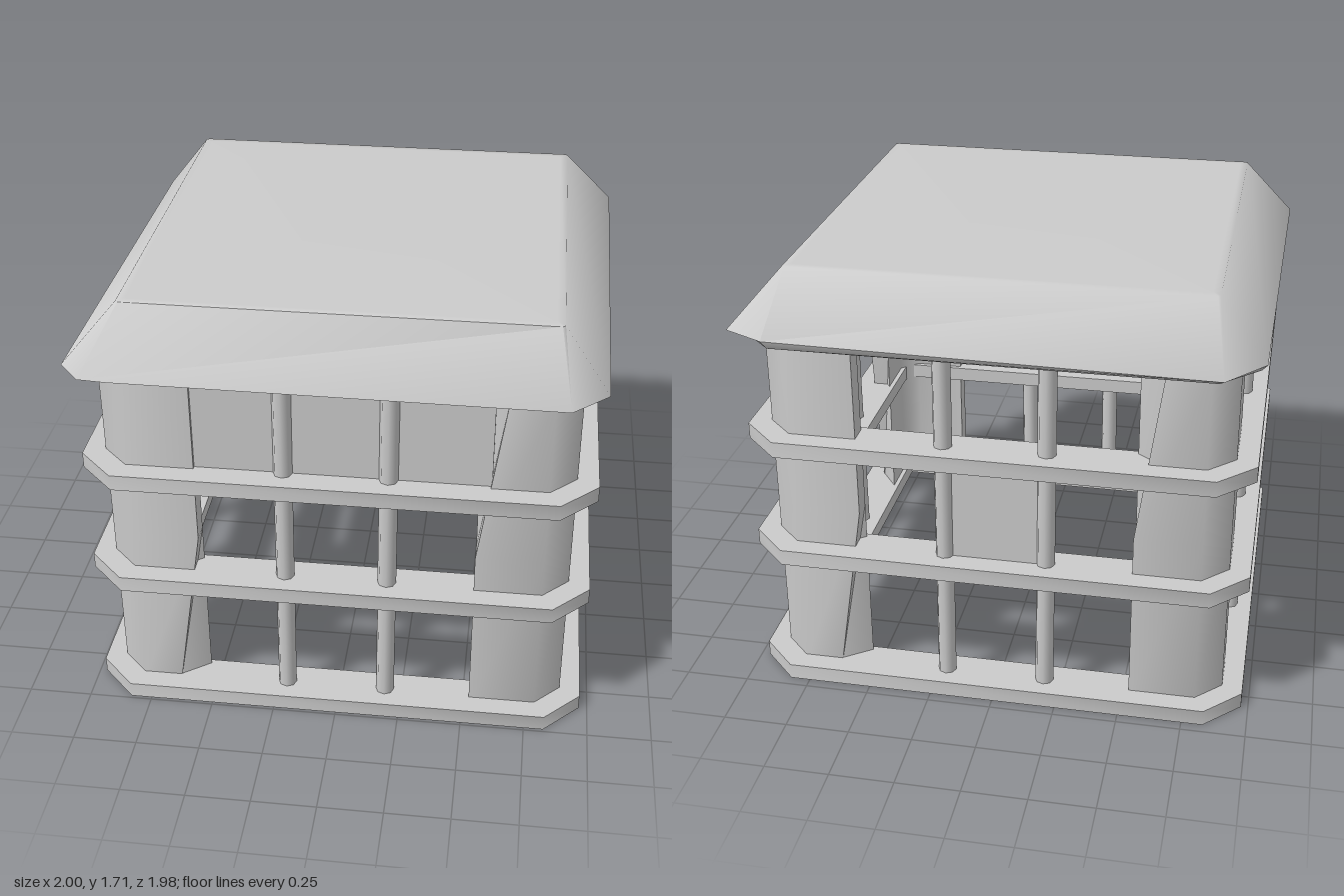
import * as THREE from 'three';
import { toCreasedNormals } from 'three/addons/utils/BufferGeometryUtils.js';

const material = new THREE.MeshStandardMaterial({ color: 0xcccccc, side: THREE.DoubleSide });

function add(parent, name, geometry) {
  const mesh = new THREE.Mesh(geometry, material);
  mesh.name = name;
  parent.add(mesh);
  return mesh;
}

// Rectangle with cut corners, as [x, z] points running front right, back right, back left, front left
function cutRect(x0, x1, z0, z1, c) {
  return [
    [x1 - c, z1], [x1, z1 - c], [x1, z0 + c], [x1 - c, z0],
    [x0 + c, z0], [x0, z0 + c], [x0, z1 - c], [x0 + c, z1],
  ];
}

// Skin a stack of cross-sections, bottom to top, with optional flat ends
function loft(sections, crease, capped) {
  const n = sections[0].points.length;
  const loops = sections.map(({ y, points }) => points.map(([x, z, dy = 0]) => [x, y + dy, z]));
  const pos = [];
  const tri = (...corners) => corners.forEach((p) => pos.push(...p));
  const middle = (loop) => [0, 1, 2].map((k) => loop.reduce((s, p) => s + p[k], 0) / n);
  const bottom = loops[0], top = loops[loops.length - 1];
  const low = middle(bottom), high = middle(top);
  for (let i = 0; i < n; i++) {
    const j = (i + 1) % n;
    for (let k = 0; k < loops.length - 1; k++) {
      const a = loops[k], b = loops[k + 1];
      tri(a[i], a[j], b[j]);
      tri(a[i], b[j], b[i]);
    }
    if (capped) {
      tri(high, top[i], top[j]);
      tri(low, bottom[j], bottom[i]);
    }
  }
  const g = new THREE.BufferGeometry();
  g.setAttribute('position', new THREE.Float32BufferAttribute(pos, 3));
  return toCreasedNormals(g, crease);
}

// Flat square hoop with cut outer corners and a square opening
function ringGeometry() {
  const outer = cutRect(-0.97, 0.97, -0.973, 0.973, 0.14);
  const shape = new THREE.Shape(outer.map(([x, z]) => new THREE.Vector2(x, z)));
  const h = 0.79;
  shape.holes.push(new THREE.Path([[-h, -h], [-h, h], [h, h], [h, -h]].map((p) => new THREE.Vector2(...p))));
  const g = new THREE.ExtrudeGeometry(shape, { depth: 0.063, bevelEnabled: false });
  return toCreasedNormals(g.rotateX(-Math.PI / 2), 0.9);
}

// Angle-shaped post section; the two cuts slant the ends of its front and side wings
function postSection(frontCut, sideCut) {
  return [
    [-0.53 - frontCut, 0.89], [-0.53, 0.81], [-0.74, 0.81], [-0.81, 0.74],
    [-0.81, 0.53], [-0.89, 0.53 + sideCut], [-0.89, 0.79], [-0.79, 0.89],
  ];
}

export function createModel() {
  const model = new THREE.Group();
  model.name = 'pavilion';
  const frame = new THREE.Group();
  frame.name = 'frame';
  frame.position.set(-0.003, 0, 0.015);
  model.add(frame);

  // Three hoops around the frame
  const ring = ringGeometry();
  [['baseRing', 0], ['middleRing', 0.538], ['upperRing', 1.01]].forEach(([name, y]) => {
    add(frame, name, ring).position.y = y;
  });

  // Corner posts with wings cut at opposite ends; their open ends sit inside base and roof
  const post = loft([
    { y: 0.03, points: postSection(0.11, 0) },
    { y: 0.75, points: postSection(0, 0) },
    { y: 1.46, points: postSection(0, 0.1) },
  ], 0.9, false);
  // Slim bars, two per side, leaning slightly
  const bar = new THREE.CylinderGeometry(0.036, 0.036, 1.43, 8);
  for (let side = 0; side < 4; side++) {
    const wall = new THREE.Group();
    wall.name = 'wall';
    wall.rotation.y = side * Math.PI / 2;
    add(wall, 'cornerPost', post);
    for (const x of [-0.197, 0.197]) {
      const b = add(wall, 'bar', bar);
      b.position.set(x, 0.74, 0.877);
      b.rotation.z = -0.007;
    }
    frame.add(wall);
  }

  // Wall panels: a wide one high on the front, a narrow one between the back bars
  add(frame, 'frontPanel', new THREE.BoxGeometry(1.12, 0.4, 0.03)).position.set(0.02, 1.26, 0.86);
  add(frame, 'backPanel', new THREE.BoxGeometry(0.39, 0.48, 0.03)).position.set(0, 0.81, -0.87);

  // Roof slab with sloping sides, an uneven rim and flat top and underside
  const rim = [
    [0.84, 0.965, -0.028], [0.975, 0.85, -0.02], [1, -0.87, 0], [0.84, -0.95, 0],
    [-0.84, -0.99, 0], [-0.98, -0.82, 0], [-1, 0.89, 0], [-0.93, 0.945, -0.028],
  ];
  add(model, 'roof', loft([
    { y: 1.45, points: cutRect(-0.94, 0.94, -0.92, 0.93, 0.14) },
    { y: 1.45, points: cutRect(-0.96, 0.96, -0.94, 0.95, 0.14) },
    { y: 1.48, points: rim },
    { y: 1.71, points: cutRect(-0.8, 0.8, -0.78, 0.82, 0.01) },
    { y: 1.711, points: cutRect(-0.77, 0.77, -0.75, 0.79, 0.01) },
  ], 1.05, true));

  return model;
}
